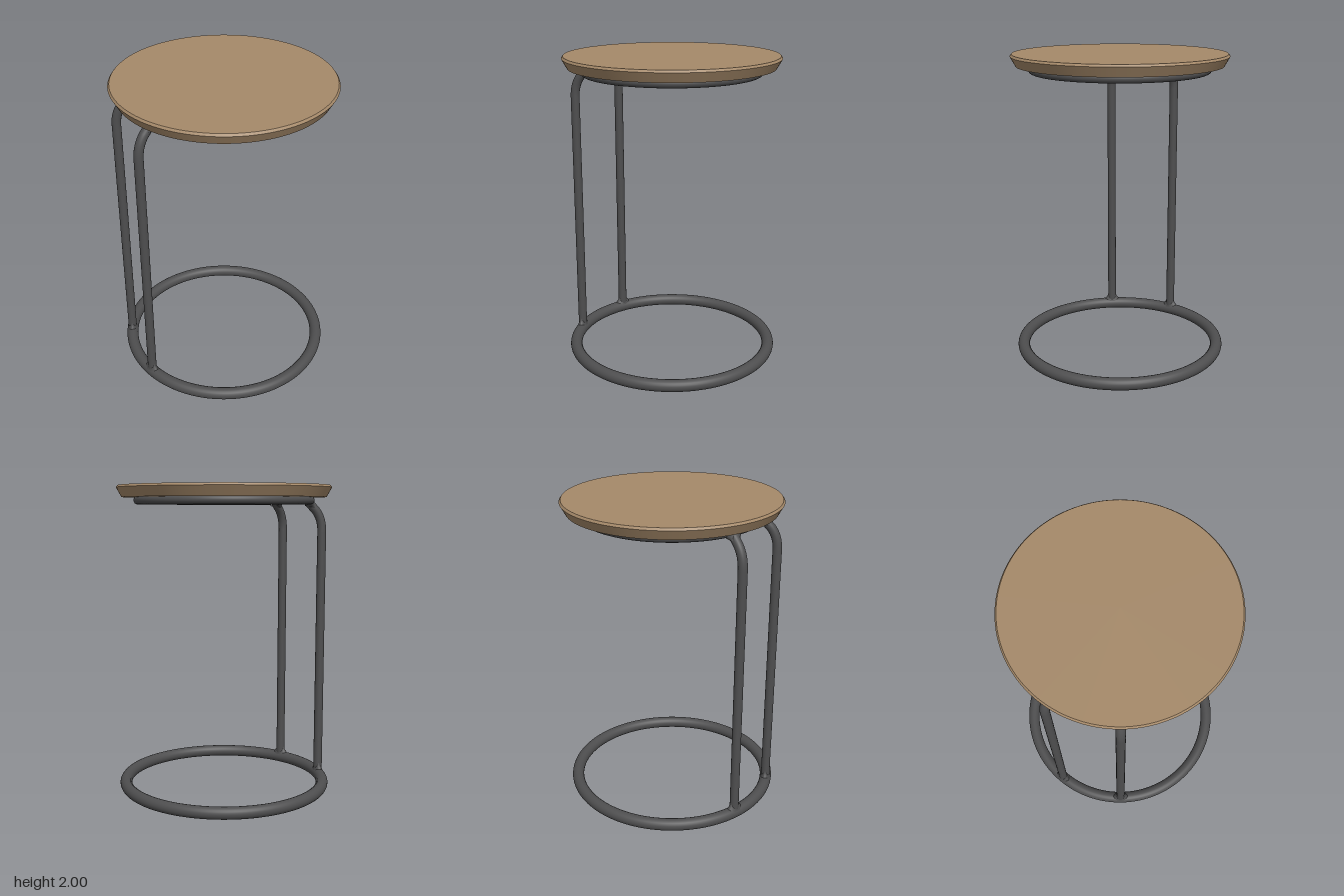
import * as THREE from 'three';
import { mergeGeometries } from 'three/addons/utils/BufferGeometryUtils.js';

const V2 = (x, y) => new THREE.Vector2(x, y);
const V3 = (x, y) => new THREE.Vector3(x, y, 0);

// Lathe with crisp edges: each profile segment becomes its own surface
function creasedLathe(points, sides) {
  const bands = [];
  for (let i = 0; i < points.length - 1; i++) {
    bands.push(new THREE.LatheGeometry([points[i], points[i + 1]], sides));
  }
  return mergeGeometries(bands);
}

export function createModel() {
  const wood = new THREE.MeshStandardMaterial({ color: 0xa58969 });
  wood.name = 'wood';
  const metal = new THREE.MeshStandardMaterial({ color: 0x4e4e4f });
  metal.name = 'darkMetal';

  const model = new THREE.Group();
  model.name = 'sideTable';

  function add(parent, name, geometry, material) {
    const mesh = new THREE.Mesh(geometry, material);
    mesh.name = name;
    parent.add(mesh);
    return mesh;
  }

  // Round top, tapering towards its underside
  add(model, 'tableTop', creasedLathe([
    V2(0, 1.925), V2(0.658, 1.925), V2(0.692, 1.986), V2(0.682, 2), V2(0, 2),
  ], 128), wood);

  // Floor ring and the smaller ring beneath the top
  const baseR = 0.66, topR = 0.555, topY = 1.905, legR = 0.029;
  function ring(name, radius, tube, y) {
    const geometry = new THREE.TorusGeometry(radius, tube, 24, 128).rotateX(Math.PI / 2);
    add(model, name, geometry, metal).position.y = y;
  }
  ring('baseRing', baseR, 0.039, 0.039);
  ring('supportRing', topR, 0.027, topY);

  // Leg: straight tube, then a bend inwards to the support ring
  const bendY = 1.7;
  const straight = new THREE.CylinderGeometry(legR, legR, bendY - 0.04, 24, 1, true)
    .translate(-baseR, (bendY + 0.04) / 2, 0);
  const path = new THREE.CurvePath();
  path.add(new THREE.QuadraticBezierCurve3(V3(-baseR, bendY), V3(-baseR, 1.79), V3(-0.612, 1.845)));
  path.add(new THREE.LineCurve3(V3(-0.612, 1.845), V3(-topR, topY)));
  const bend = new THREE.TubeGeometry(path, 32, legR, 24);

  // Weld fillet, spreading along the ring and flat across it
  const fillet = new THREE.LatheGeometry([
    V2(0.062, 0), V2(0.05, 0.018), V2(0.038, 0.03), V2(0.031, 0.045), V2(0.027, 0.065),
  ], 24).scale(0.52, 1, 1);

  for (const [side, sign] of [['front', 1], ['back', -1]]) {
    const leg = new THREE.Group();
    leg.name = side + 'Leg';
    add(leg, side + 'LegPost', straight, metal);
    add(leg, side + 'LegBend', bend, metal);
    add(leg, side + 'LowerWeld', fillet, metal).position.set(-baseR, 0.062, 0);
    const upper = add(leg, side + 'UpperWeld', fillet, metal);
    upper.position.set(-topR - 0.01, topY - 0.01, 0);
    upper.rotation.z = 2.376;
    leg.rotation.y = sign * Math.asin(0.227 / baseR);
    model.add(leg);
  }
  return model;
}
